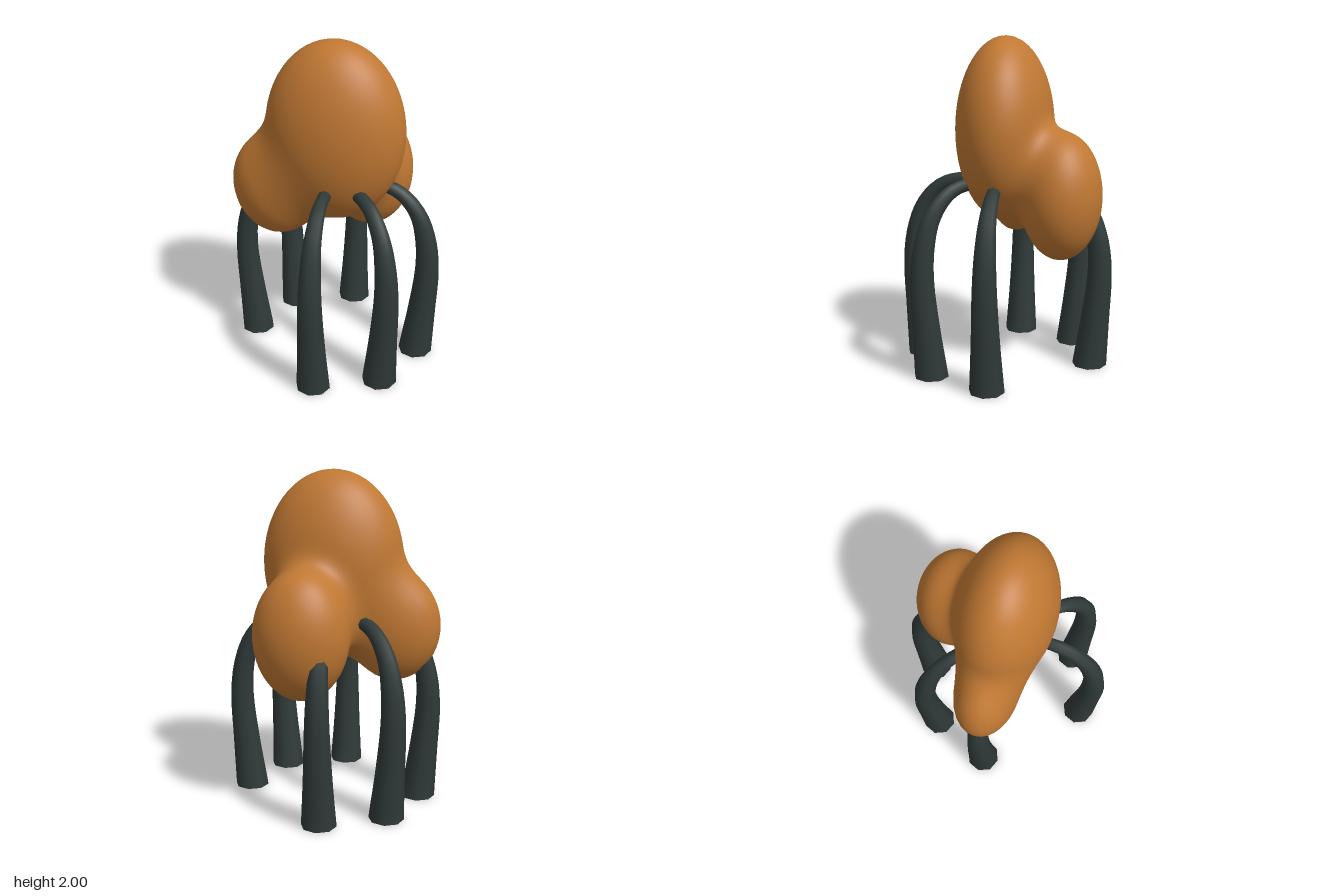
import * as THREE from 'three';
import { mergeVertices } from 'three/addons/utils/BufferGeometryUtils.js';

// Three egg-shaped lobes that melt together into the body
const LOBES = [
  { c: new THREE.Vector3(0, 1.45, 0), r: new THREE.Vector3(0.42, 0.55, 0.29) },
  { c: new THREE.Vector3(-0.365, 1.08, 0), r: new THREE.Vector3(0.28, 0.335, 0.19) },
  { c: new THREE.Vector3(0.13, 1.08, -0.36), r: new THREE.Vector3(0.28, 0.38, 0.24) },
];
const BLEND = 0.15;

function lobeDistance(p, { c, r }) {
  const q = p.clone().sub(c).divide(r);
  const k0 = q.length();
  const k1 = q.divide(r).length();
  return k1 < 1e-6 ? -Math.min(r.x, r.y, r.z) : (k0 * (k0 - 1)) / k1;
}

function smoothMin(a, b) {
  const h = Math.max(BLEND - Math.abs(a - b), 0) / BLEND;
  return Math.min(a, b) - (h * h * BLEND) / 4;
}

const field = (p) => LOBES.map((l) => lobeDistance(p, l)).reduce(smoothMin);

// Sphere whose vertices are pushed outwards to the blended surface
function bodyGeometry() {
  const geo = new THREE.SphereGeometry(1, 96, 64);
  const pos = geo.attributes.position;
  const nor = geo.attributes.normal;
  const core = new THREE.Vector3(-0.02, 1.2, -0.12);
  const dir = new THREE.Vector3();
  const at = (t) => core.clone().addScaledVector(dir, t);
  const e = 0.004;
  for (let i = 0; i < pos.count; i++) {
    dir.fromBufferAttribute(pos, i).normalize();
    let hi = 0.02;
    while (hi < 1.5 && field(at(hi)) < 0) hi += 0.02;
    let lo = hi - 0.02;
    for (let n = 0; n < 14; n++) {
      const mid = (lo + hi) / 2;
      if (field(at(mid)) < 0) lo = mid;
      else hi = mid;
    }
    const p = at(hi);
    pos.setXYZ(i, p.x, p.y, p.z);
    // smooth normal from the slope of the field
    const slope = ['x', 'y', 'z'].map((axis) => {
      const a = p.clone(), b = p.clone();
      a[axis] += e;
      b[axis] -= e;
      return field(a) - field(b);
    });
    const n = new THREE.Vector3(...slope).normalize();
    nor.setXYZ(i, n.x, n.y, n.z);
  }
  return geo;
}

// Tapered eight-sided leg; each point is (distance out, height, thickness)
function legGeometry() {
  const path = new THREE.CatmullRomCurve3([
    [0.53, 0, 0.105], [0.56, 0.3, 0.086], [0.582, 0.6, 0.073], [0.565, 0.8, 0.064],
    [0.51, 0.97, 0.053], [0.4, 1.095, 0.044], [0.27, 1.138, 0.039], [0.15, 1.12, 0.036],
  ].map((p) => new THREE.Vector3(...p)));
  const raw = new THREE.CylinderGeometry(1, 1, 1, 8, 24);
  raw.deleteAttribute('uv');
  const geo = mergeVertices(raw);
  const pos = geo.attributes.position;
  for (let i = 0; i < pos.count; i++) {
    const t = THREE.MathUtils.clamp(pos.getY(i) + 0.5, 0, 1);
    const p = path.getPoint(t);
    const tan = path.getTangent(t);
    tan.z = 0;
    if (t < 0.001) tan.set(0, 1, 0); // flat foot
    tan.normalize();
    const side = pos.getX(i) * p.z;
    pos.setXYZ(i, p.x + side * tan.y, p.y - side * tan.x, pos.getZ(i) * p.z);
  }
  geo.computeVertexNormals();
  return geo;
}

export function createModel() {
  const model = new THREE.Group();
  model.name = 'lobedBodyOnLegs';

  const copper = new THREE.MeshStandardMaterial({ color: 0xc07833 });
  copper.name = 'copper';
  const slate = new THREE.MeshStandardMaterial({ color: 0x2f3a39 });
  slate.name = 'darkSlate';

  const body = new THREE.Mesh(bodyGeometry(), copper);
  body.name = 'body';
  model.add(body);

  // Two fans of three legs on opposite sides
  const legGeo = legGeometry();
  [0, 45, 90, 180, 225, 270].forEach((angle, i) => {
    const leg = new THREE.Mesh(legGeo, slate);
    leg.name = `leg${i + 1}`;
    leg.rotation.y = -THREE.MathUtils.degToRad(angle);
    model.add(leg);
  });

  return model;
}
